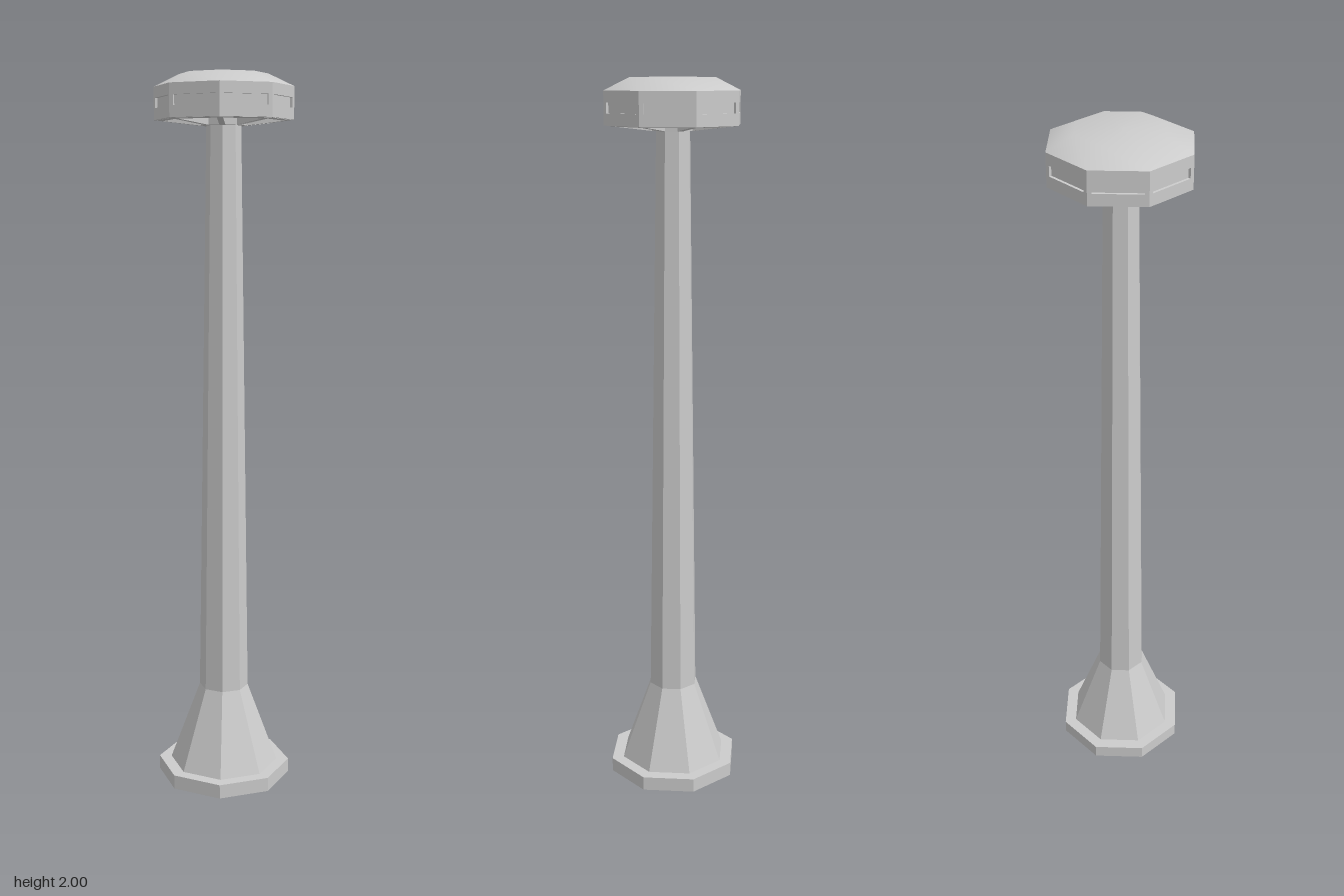
import * as THREE from 'three';

const SIDES = 8;
const STEP = (Math.PI * 2) / SIDES;
const HALF = STEP / 2;
const R = 0.19;                       // outer radius of base and head
const RIM_LOW = 1.877, RIM_HIGH = 1.965, CEILING = 1.91;

const flat = new THREE.MeshStandardMaterial({ color: 0xcccccc, flatShading: true });
const smooth = new THREE.MeshStandardMaterial({ color: 0xcccccc });

function part(name, geometry, material = flat) {
  const mesh = new THREE.Mesh(geometry, material);
  mesh.name = name;
  return mesh;
}

// Octagonal frustum between two heights
function frustum(name, rLow, rHigh, yLow, yHigh) {
  const g = new THREE.CylinderGeometry(rHigh, rLow, yHigh - yLow, SIDES);
  g.translate(0, (yLow + yHigh) / 2, 0);
  return part(name, g);
}

// One side of the head rim, with a long shallow slot
function rimPanel() {
  const w = R * Math.sin(HALF), depth = 0.0125;
  const s = new THREE.Shape([
    new THREE.Vector2(-w, RIM_LOW), new THREE.Vector2(w, RIM_LOW),
    new THREE.Vector2(w, RIM_HIGH), new THREE.Vector2(-w, RIM_HIGH),
  ]);
  const h = w - 0.011;
  s.holes.push(new THREE.Path([
    new THREE.Vector2(-h, 1.908), new THREE.Vector2(-h, 1.935),
    new THREE.Vector2(h, 1.935), new THREE.Vector2(h, 1.908),
  ]));
  const g = new THREE.ExtrudeGeometry(s, { depth, bevelEnabled: false });
  g.translate(0, 0, R * Math.cos(HALF) - depth);
  return g;
}

// Ribbed underside: octagon with one tapered opening per side
function ribbedUnderside() {
  const s = new THREE.Shape();
  for (let i = 0; i < SIDES; i++) {
    const x = 0.182 * Math.cos(i * STEP), y = 0.182 * Math.sin(i * STEP);
    if (i) s.lineTo(x, y); else s.moveTo(x, y);
  }
  const width = (d) => d * Math.tan(HALF) - 0.0087;
  for (let i = 0; i < SIDES; i++) {
    const a = i * STEP + HALF;
    const at = (d, u) => new THREE.Vector2(d, u).rotateAround(new THREE.Vector2(), a);
    const near = 0.06, far = 0.155;
    s.holes.push(new THREE.Path([
      at(near, -width(near)), at(near, width(near)), at(far, width(far)), at(far, -width(far)),
    ]));
  }
  const g = new THREE.ExtrudeGeometry(s, { depth: 1, bevelEnabled: false });
  g.rotateX(-Math.PI / 2);
  // Lower face slopes down towards the shaft
  const p = g.attributes.position;
  for (let i = 0; i < p.count; i++) {
    const r = Math.hypot(p.getX(i), p.getZ(i));
    p.setY(i, p.getY(i) > 0.5 ? CEILING : 1.86 + 0.017 * (r - 0.045) / (R - 0.045));
  }
  g.computeVertexNormals();
  return g;
}

export function createModel() {
  const model = new THREE.Group();
  model.name = 'column';

  // Foot and shaft
  model.add(frustum('basePlate', R, R, 0, 0.04));
  model.add(frustum('flaredFoot', 0.155, 0.07, 0.04, 0.27));
  model.add(frustum('shaft', 0.07, 0.047, 0.27, 1.9));

  // Head
  const head = new THREE.Group();
  head.name = 'head';
  head.add(part('underside', ribbedUnderside()));
  head.add(frustum('core', 0.182, 0.182, CEILING, RIM_HIGH - 0.001));
  const panel = rimPanel();
  for (let i = 0; i < SIDES; i++) {
    const m = part('rimPanel', panel);
    m.rotation.y = i * STEP + HALF;
    head.add(m);
  }
  const profile = [[R, RIM_HIGH], [0.12, 1.998], [0, 2]].map(([x, y]) => new THREE.Vector2(x, y));
  head.add(part('domedCap', new THREE.LatheGeometry(profile, SIDES), smooth));
  model.add(head);

  return model;
}
